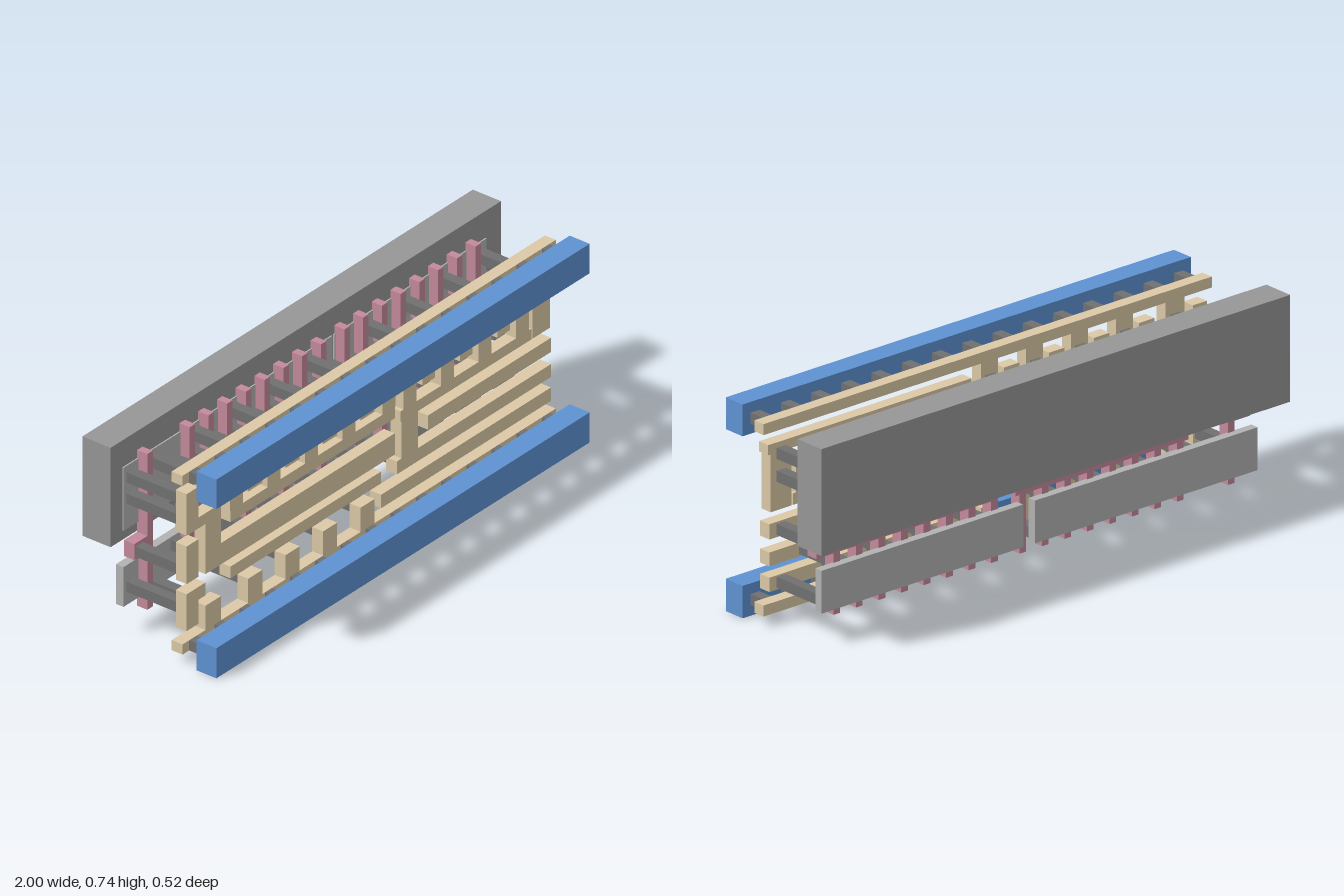
import * as THREE from 'three';

const mat = (color) => new THREE.MeshStandardMaterial({ color });
const BLUE = mat(0x5f92d2), TAN = mat(0xdcc9a6), PINK = mat(0xc48a9c);
const DARK = mat(0x707070), WELL = mat(0x969696), PLATE = mat(0xb2b2b2);

export function createModel() {
  const model = new THREE.Group();
  const layer = (name) => {
    const g = new THREE.Group();
    g.name = name;
    model.add(g);
    return g;
  };
  // Box from its minimum and maximum on each axis
  const box = (parent, name, m, x0, x1, y0, y1, z0, z1) => {
    const mesh = new THREE.Mesh(new THREE.BoxGeometry(x1 - x0, y1 - y0, z1 - z0), m);
    mesh.position.set((x0 + x1) / 2, (y0 + y1) / 2, (z0 + z1) / 2);
    mesh.name = name;
    parent.add(mesh);
  };

  // Column centres: contacts of the left block (stubs / comb) and right block
  const pitch = 0.192;
  const row = (start, n) => Array.from({ length: n }, (_, i) => start + i * pitch);
  const leftStubs = row(-0.585, 4), leftComb = [...row(-0.68, 4), 0.1];
  const rightUp = row(0.208, 4), rightDown = row(0.304, 4);

  // Back well and the plates
  const base = layer('base');
  box(base, 'well', WELL, -1, 1, 0.36, 0.73, -0.258, -0.142);
  for (const [a, b] of [[-0.94, 0.01], [0.06, 0.92]]) box(base, 'lowerPlate', PLATE, a, b, 0.112, 0.26, -0.168, -0.137);
  for (const [a, b] of [[-0.94, 0.13], [0.14, 0.92]]) box(base, 'upperPlate', PLATE, a, b, 0.395, 0.63, -0.168, -0.137);

  // Pink gate fingers and the bands that join them
  const gates = layer('gates');
  const gate = (name, x0, x1, y0, y1) => box(gates, name, PINK, x0, x1, y0, y1, -0.142, -0.1);
  const finger = (x) => gate('gateFinger', x - 0.014, x + 0.014, 0.08, 0.66);
  finger(-0.85);
  for (let i = 0; i < 8; i++) {
    finger(-0.633 + i * 0.096);
    finger(0.16 + i * 0.096);
  }
  gate('gatePad', -0.93, -0.836, 0.295, 0.355);
  gate('gateBand', -0.667, 0.07, 0.283, 0.4);
  gate('gateBand', 0.146, 0.92, 0.293, 0.352);

  // Tan wiring
  const wiring = layer('wiring');
  const wire = (name, x0, x1, y0, y1) => box(wiring, name, TAN, x0, x1, y0, y1, 0.075, 0.12);
  const post = (name, x, y0, y1, w = 0.066) => wire(name, x - w / 2, x + w / 2, y0, y1);
  wire('topStrip', -0.957, 0.955, 0.665, 0.703);
  wire('bottomStrip', -0.957, 0.955, 0.037, 0.075);
  // Stubs hanging from and standing on the strips
  post('upperStub', -0.8, 0.55, 0.665, 0.08);
  post('lowerStub', -0.8, 0.075, 0.165, 0.08);
  for (const x of leftStubs) {
    post('upperStub', x, 0.49, 0.665, 0.072);
    post('lowerStub', x, 0.075, 0.165, 0.072);
  }
  // Left end pieces
  wire('endPost', -0.936, -0.876, 0.47, 0.625);
  wire('endLink', -0.876, -0.76, 0.47, 0.51);
  wire('endColumn', -0.84, -0.76, 0.283, 0.47);
  wire('inputPad', -0.936, -0.876, 0.29, 0.43);
  wire('lowerEndPost', -0.936, -0.876, 0.115, 0.252);
  wire('lowerEndLink', -0.876, -0.84, 0.204, 0.252);
  // Left block
  wire('longBar', -0.76, 0.13, 0.283, 0.362);
  wire('upperCombBar', -0.712, 0.13, 0.418, 0.46);
  for (const x of leftComb) post('upperCombPost', x, 0.46, 0.625);
  wire('lowerBar', -0.712, 0.06, 0.208, 0.252);
  // Right block
  wire('topCombBar', 0.13, 0.935, 0.59, 0.625);
  for (const x of rightDown) post('topCombPost', x, x > 0.85 ? 0.39 : 0.475, 0.59, x > 0.85 ? 0.09 : 0.062);
  wire('bottomCombBar', 0.16, 0.83, 0.39, 0.43);
  for (const x of rightUp) post('bottomCombPost', x, 0.43, 0.55);
  wire('joiningColumn', 0.165, 0.25, 0.252, 0.39);
  wire('gateBar', 0.3, 0.93, 0.297, 0.35);
  wire('middleBar', 0.14, 0.93, 0.204, 0.252);
  wire('lowBar', 0.06, 0.93, 0.115, 0.165);

  // Dark contacts between the wiring and the layers behind
  const contacts = layer('contacts');
  const h = 0.019;
  const contact = (x, ys, back = -0.137) => {
    for (const y of ys) box(contacts, 'contact', DARK, x - h, x + h, y - h, y + h, back, 0.075);
  };
  contact(-0.905, [0.587, 0.508, 0.18]);
  contact(-0.905, [0.324], -0.1);
  contact(-0.8, [0.601, 0.141]);
  for (const x of leftStubs) contact(x, [0.601, 0.521, 0.141]);
  for (const x of leftComb) {
    contact(x, [0.534, 0.439]);
    if (x < 0) contact(x, [0.232]);
  }
  for (const x of rightUp) contact(x, [0.508, 0.428, 0.232]);
  for (const x of rightDown) contact(x, [0.587, 0.508, 0.141]);
  for (const x of leftStubs) contact(x, [0.324], -0.1);
  for (const x of rightDown) contact(x, [0.324], -0.1);

  // Blue rails and the vias that hold them
  const rails = layer('rails');
  box(rails, 'lowerRail', BLUE, -0.957, 0.955, 0, 0.112, 0.177, 0.259);
  box(rails, 'upperRail', BLUE, -0.957, 0.955, 0.63, 0.74, 0.177, 0.259);
  for (let i = 0; i < 15; i++) {
    const x = -0.904 + i * 0.129;
    for (const y of [0.056, 0.684]) box(rails, 'railVia', DARK, x - h, x + h, y - h, y + h, 0.12, 0.177);
  }
  return model;
}
